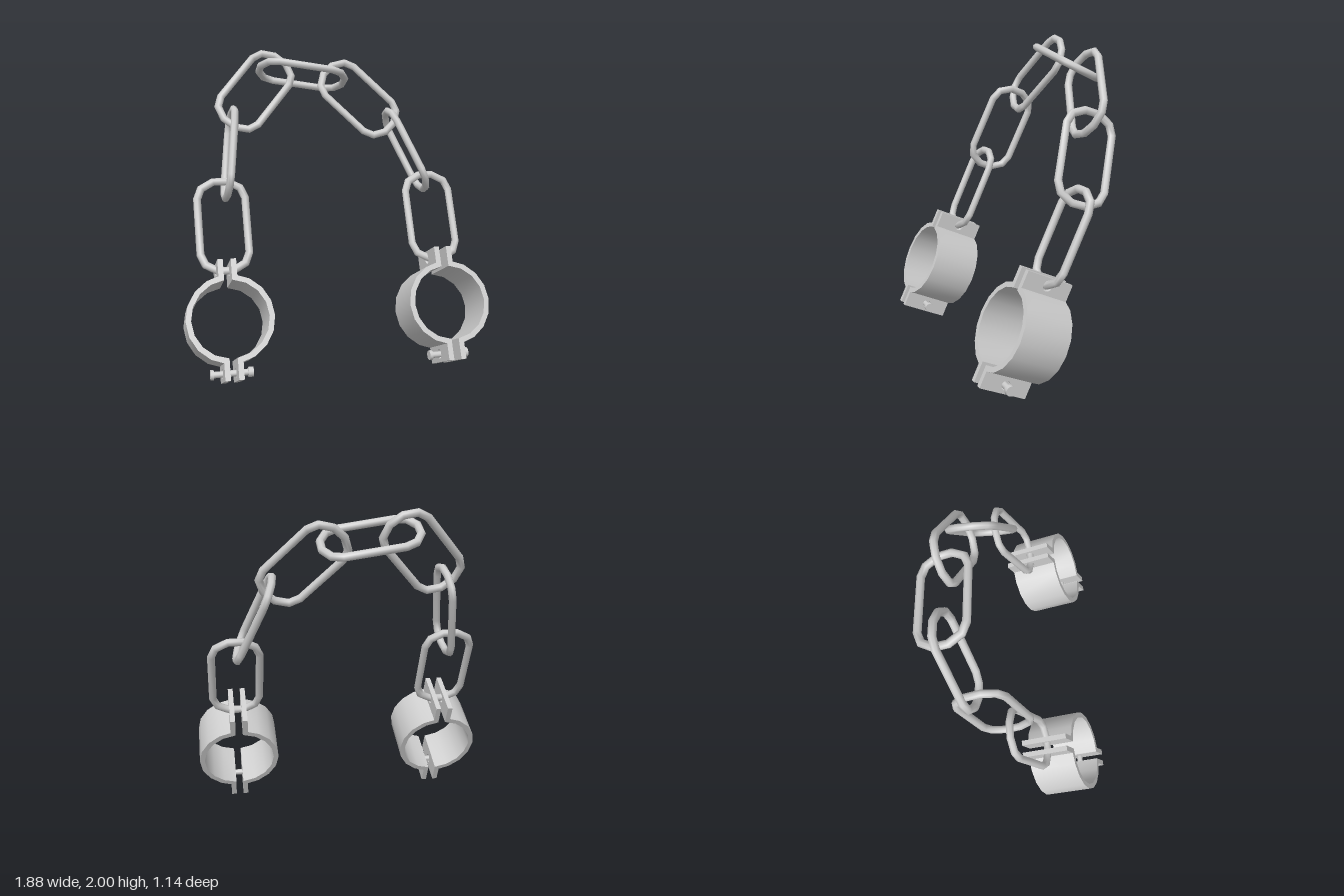
import * as THREE from 'three';
import { toCreasedNormals } from 'three/addons/utils/BufferGeometryUtils.js';

const material = new THREE.MeshStandardMaterial({ color: 0xcccccc });

function mesh(name, geometry, parent) {
  const m = new THREE.Mesh(geometry, material);
  m.name = name;
  parent.add(m);
  return m;
}

// Closed oblong ring: a round section swept along a mitred loop in the XY plane
function linkGeometry(radius = 0.024, sides = 8) {
  const quarter = [[0.149, 0.175], [0.122, 0.24], [0.045, 0.283]];
  const back = [...quarter].reverse();
  const path = [
    ...quarter,
    ...back.map(([x, y]) => [-x, y]),
    ...quarter.map(([x, y]) => [-x, -y]),
    ...back.map(([x, y]) => [x, -y]),
  ].map(([x, y]) => new THREE.Vector2(x, y));
  const n = path.length, positions = [], index = [];
  path.forEach((p, i) => {
    const a = p.clone().sub(path[(i + n - 1) % n]).normalize();
    const b = path[(i + 1) % n].clone().sub(p).normalize();
    const out = new THREE.Vector2(a.y + b.y, -a.x - b.x).normalize();
    const mitre = 1 / Math.sqrt((1 + a.dot(b)) / 2);
    for (let j = 0; j < sides; j++) {
      const t = (j / sides) * Math.PI * 2;
      const r = radius * Math.cos(t) * mitre;
      positions.push(p.x + out.x * r, p.y + out.y * r, radius * Math.sin(t));
      const k = (j + 1) % sides, next = ((i + 1) % n) * sides;
      index.push(i * sides + j, next + j, next + k, i * sides + j, next + k, i * sides + k);
    }
  });
  const g = new THREE.BufferGeometry();
  g.setAttribute('position', new THREE.Float32BufferAttribute(positions, 3));
  g.setIndex(index);
  g.computeVertexNormals();
  return g;
}

const WIDTH = 0.309, OUTER = 0.26, INNER = 0.228;
const GAP = 0.0235, PLATE = 0.032, TAB_END = 0.3535;

// Half of the split band, on the +x side
function halfBandGeometry(segments = 8) {
  const points = [];
  const arc = (r, x, dir) => {
    const end = Math.acos(x / r);
    for (let i = 0; i <= segments; i++) {
      const t = dir * end * ((2 * i) / segments - 1);
      points.push(new THREE.Vector2(r * Math.cos(t), r * Math.sin(t)));
    }
  };
  arc(OUTER, GAP + PLATE * 0.5, 1);
  arc(INNER, GAP, -1);
  const g = new THREE.ExtrudeGeometry(new THREE.Shape(points), { depth: WIDTH, bevelEnabled: false });
  g.translate(0, 0, -WIDTH / 2);
  return toCreasedNormals(g, 0.6);
}

// Upright plate with a round hole, its thickness along x
function tabGeometry() {
  const w = WIDTH / 2, low = 0.226;
  const shape = new THREE.Shape([
    new THREE.Vector2(-w, low), new THREE.Vector2(w, low),
    new THREE.Vector2(w, TAB_END), new THREE.Vector2(-w, TAB_END),
  ]);
  shape.holes.push(new THREE.Path().absarc(0, 0.303, 0.03, 0, Math.PI * 2, true));
  const g = new THREE.ExtrudeGeometry(shape, { depth: PLATE, bevelEnabled: false, curveSegments: 6 });
  g.rotateY(Math.PI / 2);
  g.translate(GAP, 0, 0);
  return g;
}

function createCuff(name) {
  const cuff = new THREE.Group();
  cuff.name = name;
  const band = halfBandGeometry(), tab = tabGeometry();
  for (const turn of [0, Math.PI]) {
    const half = new THREE.Group();
    half.name = turn ? 'rightHalf' : 'leftHalf';
    half.rotation.y = turn;
    mesh('halfBand', band, half);
    mesh('upperTab', tab, half);
    mesh('lowerTab', tab, half).rotation.x = Math.PI;
    cuff.add(half);
  }
  // Closing bolt through the lower tabs
  const bolt = new THREE.Group();
  bolt.name = 'bolt';
  bolt.position.y = -0.305;
  const rod = (part, r, from, to) => {
    const m = mesh(part, new THREE.CylinderGeometry(r, r, to - from, 12), bolt);
    m.rotation.z = Math.PI / 2;
    m.position.x = (from + to) / 2;
  };
  rod('boltShaft', 0.019, -0.12, 0.12);
  rod('boltNut', 0.03, -0.127, -0.107);
  rod('boltHead', 0.03, 0.097, 0.127);
  cuff.add(bolt);
  return cuff;
}

export function createModel() {
  const model = new THREE.Group();
  model.name = 'shackles';

  // Cuffs, leaning back
  for (const side of [-1, 1]) {
    const cuff = createCuff(side < 0 ? 'rightCuff' : 'leftCuff');
    cuff.position.set(side * 0.68, 0.395, 0.28);
    cuff.rotation.x = -0.438;
    model.add(cuff);
  }

  // Chain: name, centre, long axis, width axis
  const links = [
    ['rightLowerLink', [-0.672, 0.932, 0.033], [0, 0.905, -0.424], [1, 0, 0]],
    ['rightMiddleLink', [-0.6, 1.355, -0.17], [0.13, 0.92, -0.38], [0.053, 0.376, 0.929]],
    ['rightUpperLink', [-0.402, 1.741, -0.347], [0.643, 0.702, -0.306], [-0.766, 0.589, -0.257]],
    ['topLink', [-0.08, 1.841, -0.397], [0.985, -0.15, 0.07], [0, 0.42, 0.9]],
    ['leftUpperLink', [0.294, 1.685, -0.325], [0.682, -0.67, 0.292], [0.731, 0.625, -0.273]],
    ['leftMiddleLink', [0.576, 1.347, -0.17], [-0.37, 0.86, -0.35], [-0.138, 0.322, 0.937]],
    ['leftLowerLink', [0.687, 0.932, 0.033], [0, 0.905, -0.424], [1, 0, 0]],
  ];
  const geometry = linkGeometry();
  for (const [name, centre, long, wide] of links) {
    const y = new THREE.Vector3(...long).normalize();
    const z = new THREE.Vector3(...wide).cross(y).normalize();
    const x = y.clone().cross(z);
    const link = mesh(name, geometry, model);
    link.quaternion.setFromRotationMatrix(new THREE.Matrix4().makeBasis(x, y, z));
    link.position.set(...centre);
  }
  return model;
}
